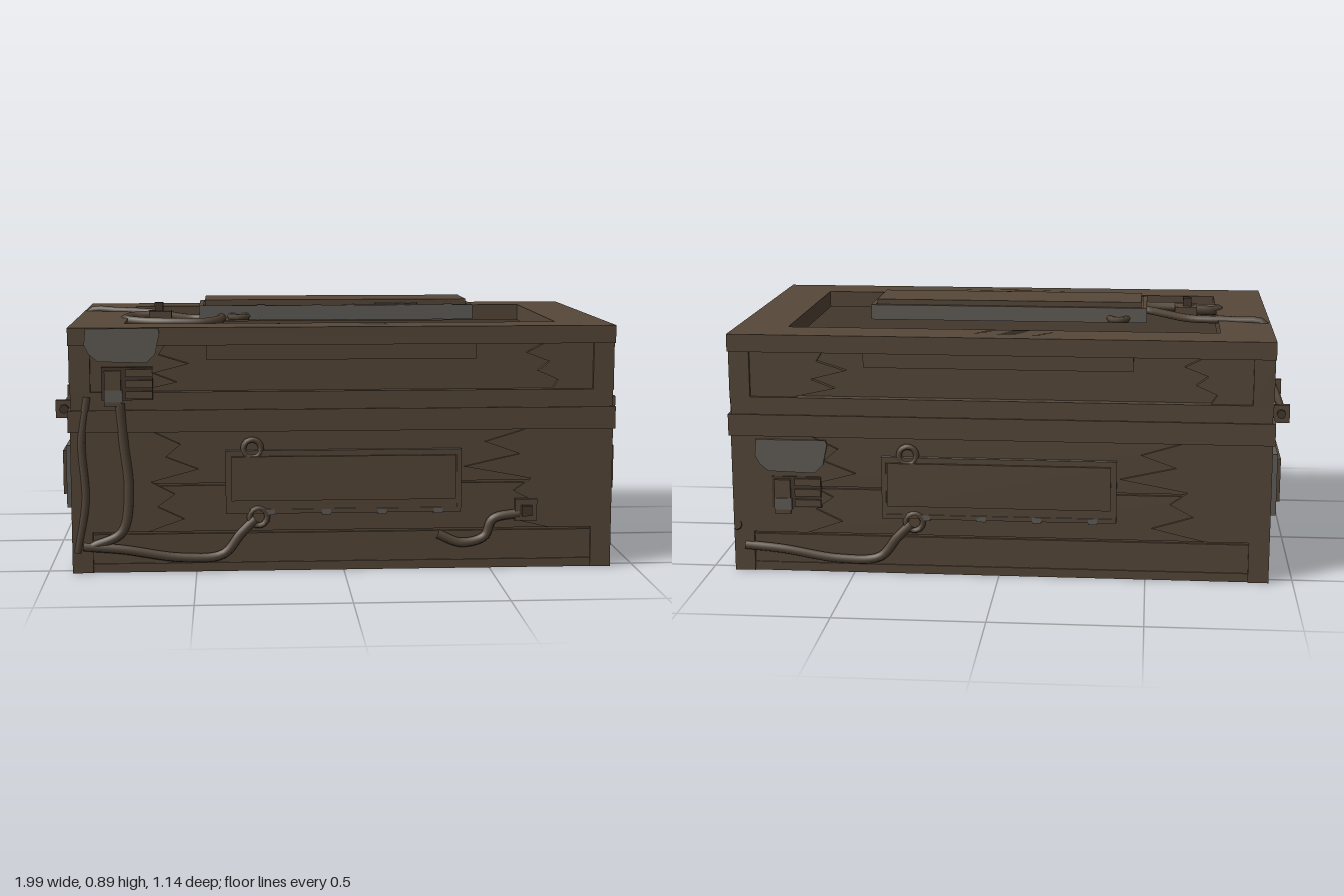
import * as THREE from 'three';

const mat = (name, color) => Object.assign(new THREE.MeshStandardMaterial({ color }), { name });

export function createModel() {
  const wood = mat('wood', 0x574839);
  const cableMat = mat('cable', 0x524538);
  const metal = mat('metal', 0x625e59);
  const dark = mat('darkWood', 0x44382d);
  const crate = new THREE.Group();
  crate.name = 'crate';

  const add = (parent, name, geo, m, x = 0, y = 0, z = 0) => {
    const mesh = new THREE.Mesh(geo, m);
    mesh.name = name;
    mesh.position.set(x, y, z);
    parent.add(mesh);
    return mesh;
  };
  // Box given by its limits
  const box = (parent, name, x0, x1, y0, y1, z0, z1, m = wood) =>
    add(parent, name, new THREE.BoxGeometry(x1 - x0, y1 - y0, z1 - z0), m, (x0 + x1) / 2, (y0 + y1) / 2, (z0 + z1) / 2);
  const shapeOf = pts => new THREE.Shape(pts.map(p => new THREE.Vector2(p[0], p[1])));
  const plate = (parent, name, pts, depth, m, x, y, z) =>
    add(parent, name, new THREE.ExtrudeGeometry(shapeOf(pts), { depth, bevelEnabled: false }), m, x, y, z);
  const cable = (parent, pts, r = 0.02) => add(parent, 'cable', new THREE.TubeGeometry(
    new THREE.CatmullRomCurve3(pts.map(p => new THREE.Vector3(...p))), 32, r, 8), cableMat);
  // Board with one splintered end
  const brokenBoard = (parent, outer, y0, y1, ends, z) => {
    const pts = [[outer, y0], ...ends.map((x, i) => [x, y0 + (y1 - y0) * i / (ends.length - 1)]), [outer, y1]];
    return plate(parent, 'brokenBoard', pts, 0.02, wood, 0, 0, z - 0.02);
  };
  // Rectangular frame of given outer and inner half sizes
  const frame = (ox, oy, ix, iy, depth) => {
    const s = shapeOf([[-ox, -oy], [ox, -oy], [ox, oy], [-ox, oy]]);
    s.holes.push(new THREE.Path([[-ix, -iy], [-ix, iy], [ix, iy], [ix, -iy]].map(p => new THREE.Vector2(...p))));
    return new THREE.ExtrudeGeometry(s, { depth, bevelEnabled: false });
  };

  // Stepped panel with metal edges, a slab and a row of studs
  const edged = [metal, metal, metal, metal, wood, wood];
  const panel = (w, h, d, studs) => {
    const g = new THREE.Group();
    g.name = 'panel';
    box(g, 'panelBase', -w, w, -h, h, 0, d * 0.55, edged);
    add(g, 'panelFrame', frame(w, h, w - 0.015, h - 0.015, d * 0.2), [wood, metal], 0, 0, d * 0.55);
    box(g, 'panelSlab', -w + 0.02, w - 0.02, -h + 0.045, h - 0.02, d * 0.5, d);
    for (const x of studs) box(g, 'stud', x - 0.015, x + 0.015, -h - 0.005, -h + 0.014, 0, d * 0.8, metal);
    return g;
  };
  const hooks = g => {
    for (const [x, y] of [[-0.31, 0.115], [-0.29, -0.12]])
      add(g, 'hook', new THREE.TorusGeometry(0.03, 0.01, 6, 14), wood, x, y, 0.01);
  };

  // Metal plate with a clasp below
  const latch = (parent, x, y, z) => {
    const g = new THREE.Group();
    g.name = 'latch';
    g.position.set(x, y, z);
    plate(g, 'latchPlate', [[-0.11, 0.03], [-0.08, 0.005], [0.08, 0], [0.11, 0.03], [0.125, 0.1], [0.12, 0.115], [-0.12, 0.115], [-0.125, 0.06]],
      0.009, metal, 0, 0.005, 0);
    box(g, 'claspBack', -0.07, 0.1, -0.12, -0.01, -0.02, 0.002, dark);
    for (const i of [0, 1, 2]) box(g, 'claspBar', 0.01, 0.1, -0.115 + i * 0.037, -0.09 + i * 0.037, 0, 0.01);
    box(g, 'claspArm', -0.06, -0.005, -0.14, -0.02, 0, 0.012);
    box(g, 'claspFoot', -0.06, 0.0, -0.125, -0.085, 0, 0.015, metal);
    parent.add(g);
  };

  // Hollow body, floor and lid rim
  const ring = (name, geo, y, m = wood) => {
    const mesh = add(crate, name, geo, m, 0, y, 0);
    mesh.rotation.x = -Math.PI / 2;
    return mesh;
  };
  box(crate, 'floor', -0.88, 0.88, 0.015, 0.04, -0.5, 0.5);
  ring('lowerWalls', frame(0.9, 0.52, 0.865, 0.485, 0.6), 0.015);
  ring('upperWalls', frame(0.885, 0.505, 0.865, 0.485, 0.16), 0.612);
  ring('band', frame(0.925, 0.545, 0.88, 0.5, 0.075), 0.48);
  ring('rail', frame(0.915, 0.538, 0.88, 0.5, 0.06), 0.555);
  ring('lidRim', frame(0.92, 0.548, 0.74, 0.39, 0.06), 0.772);
  ring('baseRim', frame(0.915, 0.535, 0.87, 0.49, 0.03), 0);

  // One wall in its own frame, facing +z
  const wall = (name, W, D, angle) => {
    const g = new THREE.Group();
    g.name = name;
    g.rotation.y = angle;
    crate.add(g);
    for (const s of [-1, 1]) {
      const a = s * W, b = s * (W - 0.07);
      box(g, 'lowerPost', Math.min(a, b), Math.max(a, b), 0, 0.48, D - 0.05, D);
      box(g, 'upperPost', Math.min(a, b), Math.max(a, b), 0.61, 0.775, D - 0.05, D - 0.002);
    }
    for (const [y0, y1] of [[0.005, 0.13], [0.138, 0.295], [0.303, 0.48]])
      box(g, 'plank', -W + 0.05, W - 0.05, y0, y1, D - 0.04, D - 0.01);
    return g;
  };

  // Long walls
  for (const [name, angle] of [['frontWall', 0], ['backWall', Math.PI]]) {
    const g = wall(name, 0.918, 0.54, angle);
    brokenBoard(g, -0.9, 0.14, 0.48, [-0.66, -0.54, -0.63, -0.57, -0.65, -0.49, -0.6, -0.55, -0.64], 0.54);
    brokenBoard(g, 0.9, 0.14, 0.48, [0.7, 0.52, 0.66, 0.58, 0.64, 0.41, 0.6, 0.48, 0.62], 0.54);
    brokenBoard(g, -0.88, 0.615, 0.77, [-0.7, -0.56, -0.64, -0.52, -0.62, -0.6], 0.526);
    brokenBoard(g, 0.88, 0.615, 0.77, [0.71, 0.73, 0.66, 0.7, 0.62, 0.68], 0.526);
    box(g, 'upperBoard', -0.46, 0.45, 0.72, 0.775, 0.5, 0.525);
    const p = panel(0.4, 0.108, 0.022, [-0.25, -0.06, 0.13, 0.32]);
    hooks(p);
    p.position.set(0, 0.307, 0.53);
    g.add(p);
    cable(g, [[-0.3, 0.18, 0.54], [-0.35, 0.13, 0.54], [-0.41, 0.06, 0.54], [-0.55, 0.05, 0.54], [-0.75, 0.08, 0.54], [-0.88, 0.09, 0.535]], 0.016);
    if (angle === 0) {
      latch(g, -0.74, 0.71, 0.548);
      cable(g, [[-0.75, 0.58, 0.545], [-0.74, 0.45, 0.54], [-0.725, 0.28, 0.54], [-0.75, 0.14, 0.54], [-0.85, 0.09, 0.535]], 0.016);
      cable(g, [[-0.86, 0.6, 0.535], [-0.88, 0.45, 0.54], [-0.87, 0.25, 0.54], [-0.9, 0.07, 0.535]], 0.013);
      cable(g, [[0.32, 0.12, 0.535], [0.4, 0.09, 0.54], [0.48, 0.11, 0.54], [0.51, 0.17, 0.54], [0.6, 0.19, 0.54]], 0.016);
      box(g, 'cableSocket', 0.585, 0.66, 0.165, 0.24, 0.53, 0.552);
      box(g, 'socketPin', 0.605, 0.64, 0.185, 0.22, 0.552, 0.575, dark);
    } else {
      latch(g, -0.71, 0.35, 0.542);
    }
  }

  // Short walls with handles
  for (const [name, angle] of [['leftWall', Math.PI / 2], ['rightWall', -Math.PI / 2]]) {
    const g = wall(name, 0.538, 0.918, angle);
    brokenBoard(g, -0.5, 0.615, 0.77, [-0.45, -0.42, -0.37, -0.42, -0.39, -0.41, -0.36], 0.9);
    brokenBoard(g, 0.5, 0.615, 0.77, [0.46, 0.41, 0.44, 0.39, 0.43, 0.36, 0.4], 0.9);
    for (const s of [-1, 1]) {
      box(g, 'bandBlock', s * 0.345 - 0.04, s * 0.345 + 0.04, 0.455, 0.5, 0.9, 0.926);
      box(g, 'handleBracket', s * 0.22 - 0.01, s * 0.22 + 0.01, 0.487, 0.55, 0.92, 0.995);
      const nut = add(g, 'handleNut', new THREE.CylinderGeometry(0.016, 0.016, 0.05, 8), dark, s * 0.22, 0.52, 0.965);
      nut.rotation.z = Math.PI / 2;
    }
    cable(g, [[-0.23, 0.525, 0.962], [-0.12, 0.516, 0.97], [0, 0.512, 0.972], [0.12, 0.516, 0.97], [0.23, 0.525, 0.962]], 0.015).name = 'handleGrip';
    const p = panel(0.4, 0.108, 0.05, [-0.33, -0.14, 0.05, 0.23]);
    p.position.set(0, 0.307, 0.908);
    g.add(p);
    if (angle > 0) cable(g, [[-0.33, 0.21, 0.93], [-0.33, 0.1, 0.92], [-0.28, 0.03, 0.915], [-0.2, 0.025, 0.915], [-0.02, 0.045, 0.915],
      [0.25, 0.03, 0.915], [0.36, 0.08, 0.918], [0.46, 0.13, 0.918], [0.56, 0.17, 0.905]], 0.018);
  }

  // Raised panel over the open top
  const top = panel(0.49, 0.14, 0.07, [-0.27, -0.07, 0.05, 0.23, 0.4]);
  top.rotation.x = -Math.PI / 2;
  top.position.set(0, 0.82, -0.01);
  crate.add(top);
  for (const [x, z] of [[-0.39, -0.15], [-0.35, 0.15]])
    add(crate, 'topHook', new THREE.TorusGeometry(0.03, 0.012, 6, 14), wood, x, 0.835, z).rotation.x = Math.PI / 2;
  plate(top, 'wornPatch', [[0.14, -0.13], [0.29, -0.115], [0.3, -0.075], [0.14, -0.07]], 0.005, metal, 0, 0, 0.053);

  // Top cables and socket
  cable(crate, [[-0.92, 0.55, -0.2], [-0.922, 0.75, -0.19], [-0.9, 0.83, -0.18], [-0.8, 0.835, -0.15],
    [-0.65, 0.83, -0.1], [-0.56, 0.825, 0.02], [-0.5, 0.825, 0.09], [-0.42, 0.83, 0.11]], 0.014);
  cable(crate, [[-0.64, 0.835, 0.06], [-0.73, 0.83, 0.08], [-0.75, 0.825, 0.14], [-0.68, 0.82, 0.18],
    [-0.58, 0.82, 0.21], [-0.46, 0.82, 0.21], [-0.42, 0.825, 0.17], [-0.41, 0.83, 0.11]], 0.017);
  box(crate, 'topSocket', -0.67, -0.59, 0.82, 0.85, 0.02, 0.1);
  box(crate, 'topSocketPin', -0.65, -0.62, 0.85, 0.88, 0.045, 0.075, dark);

  // Worn metal patches on the inside floor, as x and -z
  const patches = [
    [[-0.07, 0.36], [0.02, 0.39], [0.3, 0.37], [0.62, 0.39], [0.6, 0.23], [0.71, 0.21], [0.68, 0.16],
      [0.36, 0.17], [0.34, 0.22], [0.18, 0.22], [0.16, 0.17], [-0.05, 0.17], [-0.07, 0.26], [0, 0.3]],
    [[-0.09, -0.15], [0.04, -0.15], [0.05, -0.25], [0.02, -0.34], [-0.06, -0.33], [-0.09, -0.26]],
    [[0.08, -0.13], [0.18, -0.13], [0.17, -0.21], [0.12, -0.22]],
    [[0.5, -0.15], [0.65, -0.15], [0.66, -0.27], [0.57, -0.25]],
  ];
  for (const pts of patches) ring('floorPatch', new THREE.ExtrudeGeometry(shapeOf(pts), { depth: 0.006, bevelEnabled: false }), 0.038, metal);
  // Bare spots inside the large patch
  for (const [x, z] of [[0.22, 0.25], [0.4, 0.27]])
    ring('bareSpot', new THREE.CylinderGeometry(0.05, 0.05, 0.006, 9).rotateX(Math.PI / 2).translate(x, z, 0), 0.043);

  // Splintered grooves on the lid rim
  for (const [cx, cz, w] of [[-0.04, 0.45, 0.17], [0.04, -0.44, 0.28]])
    for (let i = -2; i <= 2; i++) {
      const l = w * (1 - 0.12 * Math.abs(i)), z = cz + i * 0.02;
      ring('splinterGroove', new THREE.ShapeGeometry(shapeOf([[cx - l, z], [cx, z - 0.004], [cx + l, z], [cx, z + 0.003]])), 0.8335, dark);
    }
  return crate;
}
